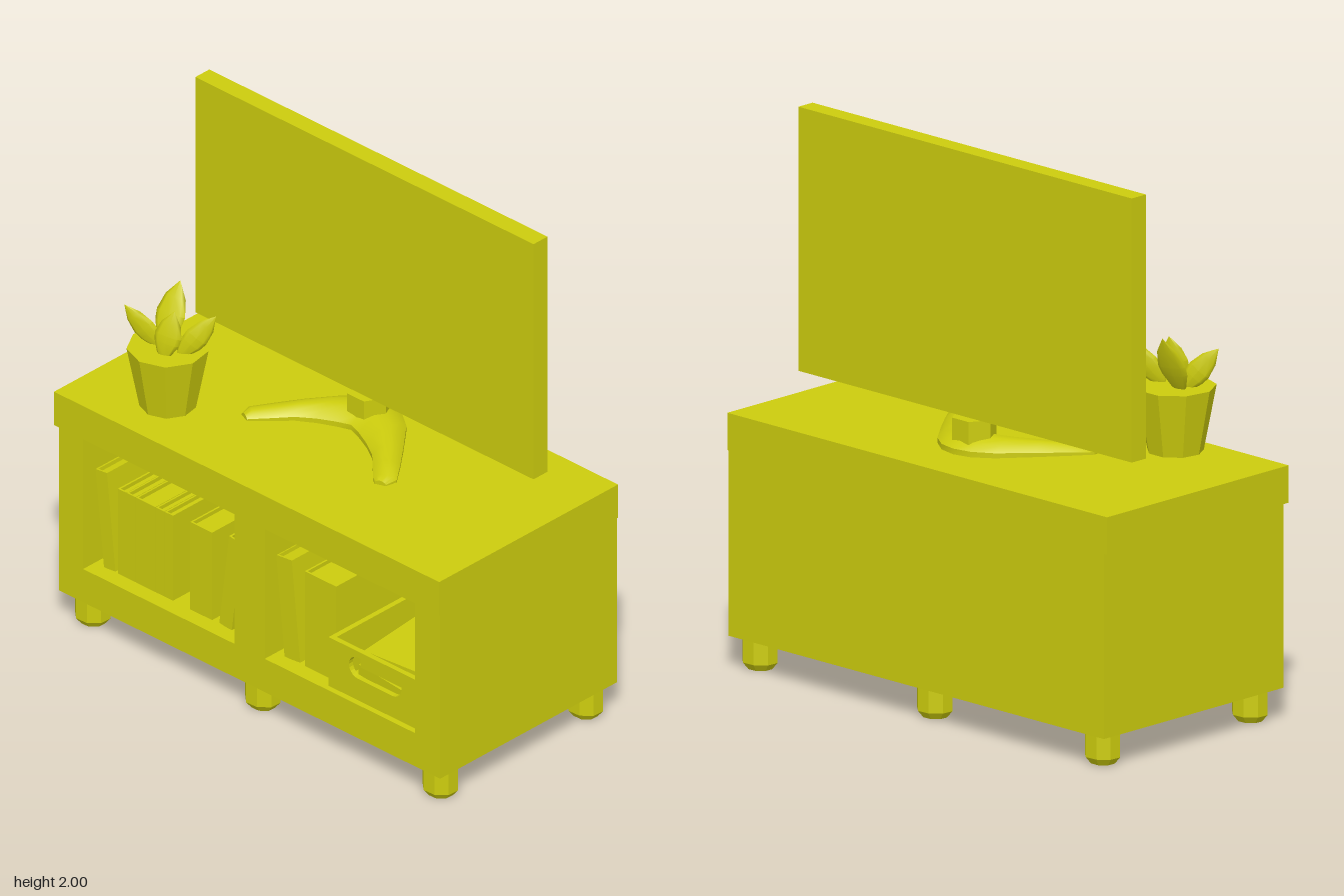
import * as THREE from 'three';
import { toCreasedNormals } from 'three/addons/utils/BufferGeometryUtils.js';

const yellow = new THREE.MeshStandardMaterial({ color: 0xcccc0d, side: THREE.DoubleSide });
yellow.name = 'mustard yellow';

export function createModel() {
  const root = new THREE.Group();
  root.name = 'tvCabinet';

  function add(name, geo, parent = root) {
    const mesh = new THREE.Mesh(geo, yellow);
    mesh.name = name;
    parent.add(mesh);
    return mesh;
  }
  // Box given by its limits on each axis
  function box(name, x0, x1, y0, y1, z0, z1, parent = root) {
    const mesh = add(name, new THREE.BoxGeometry(x1 - x0, y1 - y0, z1 - z0), parent);
    mesh.position.set((x0 + x1) / 2, (y0 + y1) / 2, (z0 + z1) / 2);
    return mesh;
  }
  // Removes sides of a box: 0 +x, 1 -x, 2 top, 3 bottom, 4 front, 5 back
  function openSides(mesh, sides) {
    const index = Array.from(mesh.geometry.index.array);
    mesh.geometry.setIndex(index.filter((_, i) => !sides.includes(Math.floor(i / 6))));
    mesh.geometry.clearGroups();
    return mesh;
  }
  function rectangle(x0, x1, y0, y1, Kind = THREE.Path) {
    return new Kind([[x0, y0], [x1, y0], [x1, y1], [x0, y1]].map(p => new THREE.Vector2(...p)));
  }
  const faceted = geo => toCreasedNormals(geo, 0.3);

  // Cabinet: hollow shell, front frame and two shelf compartments
  box('cabinetTop', -0.925, 0.92, 0.79, 0.925, -0.45, 0.45);
  openSides(box('cabinetShell', -0.91, 0.915, 0.12, 0.79, -0.45, 0.44), [2, 3, 4]);
  const openings = [[-0.795, -0.07], [0.075, 0.795]];
  const frame = rectangle(-0.91, 0.915, 0.12, 0.79, THREE.Shape);
  for (const [a, b] of openings) {
    frame.holes.push(rectangle(a, b, 0.255, 0.785));
    openSides(box('compartment', a, b, 0.255, 0.785, -0.44, 0.44), [4]);
  }
  add('frontFrame', new THREE.ShapeGeometry(frame)).position.z = 0.44;

  // Six octagonal feet with chamfered ends
  const footGeo = faceted(new THREE.LatheGeometry(
    [[0, 0], [0.045, 0], [0.066, 0.025], [0.066, 0.13], [0, 0.13]].map(p => new THREE.Vector2(...p)), 8));
  for (const x of [-0.82, -0.005, 0.845]) {
    for (const z of [0.365, -0.365]) {
      const foot = add('foot', footGeo);
      foot.position.set(x, 0, z);
      foot.rotation.y = Math.PI / 8;
      foot.scale.z = 0.88;
    }
  }

  // Books: pages set between two covers and a spine
  function book(x, width, height, depth = 0.42, lean = 0) {
    const g = new THREE.Group();
    g.name = 'book';
    const w = width / 2, c = 0.007;
    box('leftCover', -w, -w + c, 0, height, -depth, 0, g);
    box('rightCover', w - c, w, 0, height, -depth, 0, g);
    box('spine', -w + c, w - c, 0, height, -c, 0, g);
    box('pages', -w + c, w - c, 0.01, height - 0.015, -depth + 0.01, -c, g);
    g.position.set(x, 0.256, 0.38);
    g.rotation.z = lean;
    root.add(g);
  }
  book(-0.725, 0.055, 0.385, 0.42, 0.105);
  book(-0.665, 0.04, 0.345);
  book(-0.623, 0.042, 0.345, 0.4);
  book(-0.553, 0.094, 0.345);
  book(-0.484, 0.04, 0.345, 0.4);
  book(-0.442, 0.04, 0.345);
  book(-0.287, 0.105, 0.355);
  book(-0.17, 0.06, 0.375, 0.42, -0.125);
  book(0.15, 0.075, 0.4, 0.42, 0.1);
  book(0.285, 0.15, 0.385);

  // Storage basket with a slotted handle and a stack inside
  const basket = new THREE.Group();
  basket.name = 'basket';
  root.add(basket);
  const panel = rectangle(0.362, 0.793, 0.257, 0.455, THREE.Shape);
  const slot = new THREE.Path();
  slot.absarc(0.502, 0.387, 0.043, Math.PI / 2, Math.PI * 1.5, false);
  slot.absarc(0.668, 0.387, 0.043, -Math.PI / 2, Math.PI / 2, false);
  slot.closePath();
  panel.holes.push(slot);
  const panelGeo = new THREE.ExtrudeGeometry(panel, { depth: 0.02, bevelEnabled: false, curveSegments: 5 });
  add('basketFront', panelGeo, basket).position.z = 0.4;
  add('basketBack', panelGeo, basket).position.z = -0.1;
  box('basketSide', 0.362, 0.382, 0.257, 0.455, -0.08, 0.4, basket);
  box('basketSide', 0.773, 0.793, 0.257, 0.455, -0.08, 0.4, basket);
  box('basketFloor', 0.382, 0.773, 0.257, 0.275, -0.08, 0.4, basket);
  [0.275, 0.32, 0.365].forEach((y, i) => {
    const b = box('stackedBook', 0.42 + i * 0.01, 0.73 - i * 0.01, y, y + 0.04, 0, 0.33, basket);
    b.rotation.y = (i - 1) * 0.1;
  });

  // Television, hexagonal neck and boomerang stand
  box('screen', -0.8, 0.82, 1.045, 2, -0.2, -0.13);
  const neck = add('neck', faceted(new THREE.CylinderGeometry(0.08, 0.08, 0.115, 6)));
  neck.position.set(-0.005, 0.9875, -0.17);
  neck.rotation.y = Math.PI / 6;

  // Half stations from the centre outwards: outer x, z, inner x, z, top height
  const half = [
    [0, -0.27, 0, -0.075, 0.985],
    [0.07, -0.255, 0.055, -0.055, 0.983],
    [0.14, -0.205, 0.12, -0.025, 0.978],
    [0.23, -0.095, 0.185, 0.015, 0.97],
    [0.30, -0.005, 0.235, 0.065, 0.96],
    [0.355, 0.07, 0.285, 0.115, 0.952],
    [0.345, 0.115, 0.305, 0.13, 0.943]];
  const stations = [...half.slice(1).reverse().map(([a, b, c, d, h]) => [-a, b, -c, d, h]), ...half];
  // Arched section: position across the arm, share of the height
  const arch = [[0, 0], [0, 0.35], [0.16, 0.75], [0.38, 1], [0.62, 1], [0.84, 0.75], [1, 0.35], [1, 0]];
  const pos = [], idx = [], n = arch.length;
  for (const [ox, oz, ix, iz, top] of stations) {
    for (const [t, h] of arch) pos.push(ox + (ix - ox) * t, 0.926 + (top - 0.926) * h, oz + (iz - oz) * t);
  }
  for (let s = 0; s < stations.length - 1; s++) {
    for (let i = 0; i < n; i++) {
      const a = s * n + i, b = s * n + (i + 1) % n;
      idx.push(a, b, a + n, b, b + n, a + n);
    }
  }
  const last = (stations.length - 1) * n;
  for (let i = 1; i < n - 1; i++) idx.push(0, i + 1, i, last, last + i, last + i + 1);
  const standGeo = new THREE.BufferGeometry();
  standGeo.setAttribute('position', new THREE.Float32BufferAttribute(pos, 3));
  standGeo.setIndex(idx);
  add('stand', toCreasedNormals(standGeo, 0.7));

  // Plant pot
  const pot = add('plantPot', faceted(new THREE.CylinderGeometry(0.145, 0.1, 0.235, 9)));
  pot.position.set(-0.56, 1.0625, 0.26);

  // Pointed leaves, each running from base to tip
  const leafGeo = toCreasedNormals(new THREE.LatheGeometry(
    [[0, 0], [0.26, 0.12], [0.46, 0.35], [0.5, 0.5], [0.36, 0.75], [0, 1]].map(p => new THREE.Vector2(...p)), 8), 0.8);
  function leaf(base, tip, width, facing) {
    const b = new THREE.Vector3(...base), along = new THREE.Vector3(...tip).sub(b);
    const length = along.length(), up = along.normalize();
    const side = new THREE.Vector3().crossVectors(up, new THREE.Vector3(...facing)).normalize();
    const out = new THREE.Vector3().crossVectors(side, up);
    const mesh = add('leaf', leafGeo);
    mesh.quaternion.setFromRotationMatrix(new THREE.Matrix4().makeBasis(side, up, out));
    mesh.position.copy(b);
    mesh.scale.set(width, length, 0.028);
  }
  leaf([-0.6, 1.16, 0.25], [-0.605, 1.38, 0.15], 0.115, [0.2, 0, 1]);
  leaf([-0.58, 1.16, 0.265], [-0.698, 1.325, 0.335], 0.085, [0.5, 0, 1]);
  leaf([-0.535, 1.16, 0.315], [-0.515, 1.345, 0.275], 0.1, [0.4, 0, 1]);
  leaf([-0.505, 1.16, 0.27], [-0.405, 1.33, 0.18], 0.085, [0.6, 0, 1]);

  return root;
}
